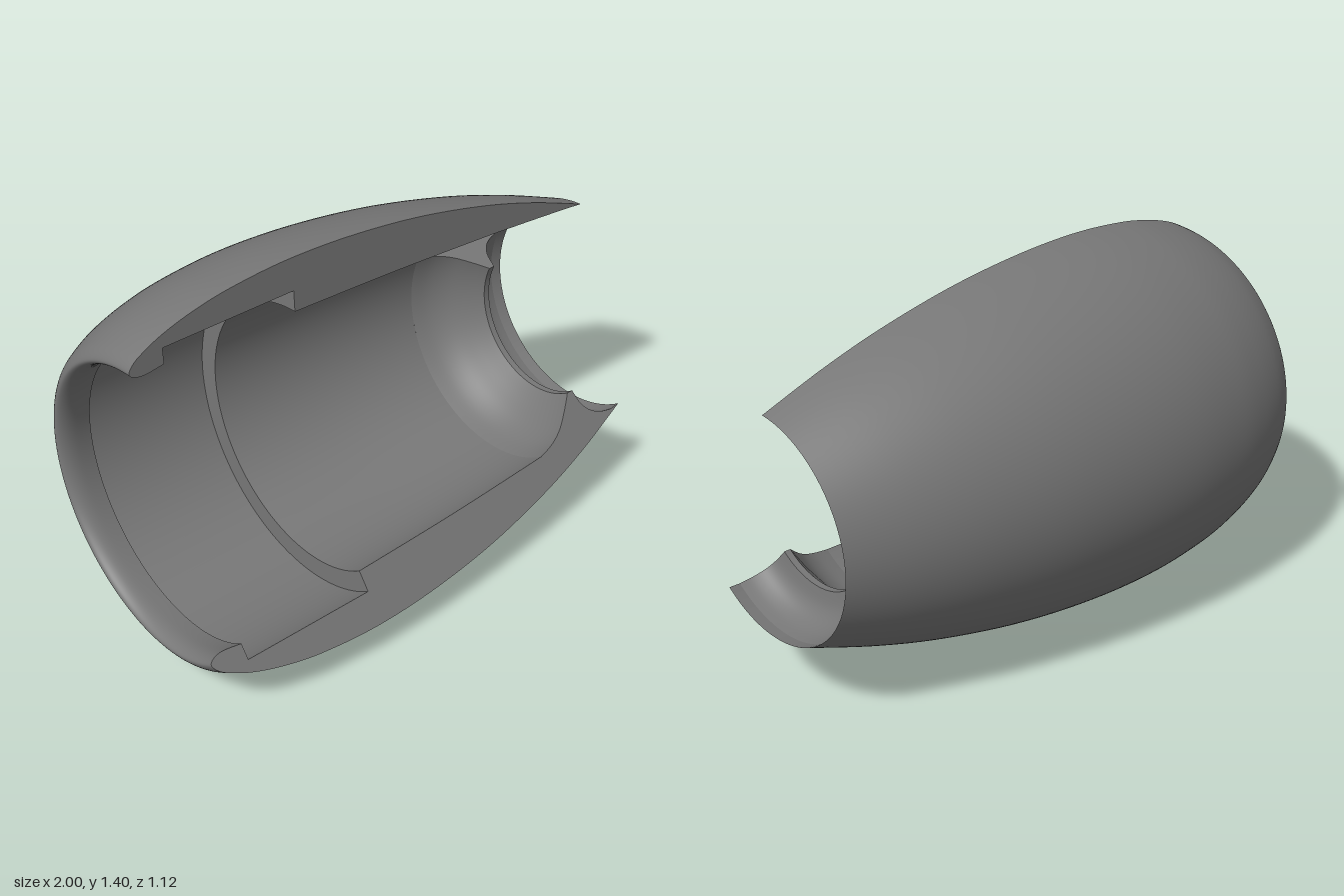
import * as THREE from 'three';

const material = new THREE.MeshStandardMaterial({ color: 0x777777, side: THREE.DoubleSide });
const rad = THREE.MathUtils.degToRad;

// Sweep limits in degrees, from straight up towards the back
const TOP = 3, RIB = 67.8, BOTTOM = 217;

// Profile points are (position along x, radius)
const pts = (list) => list.map(([x, r]) => new THREE.Vector2(x, r));
const spline = (list, n) => new THREE.SplineCurve(pts(list)).getPoints(n);

export function createModel() {
  const group = new THREE.Group();
  const shell = new THREE.Group();
  shell.name = 'cutawayShell';
  shell.position.set(0, 0.7, 0.14);
  group.add(shell);

  // Revolve a profile about the x axis between two angles
  function revolve(name, profile, from, to) {
    const geo = new THREE.LatheGeometry(
      profile.map((p) => new THREE.Vector2(p.y, p.x)),
      Math.ceil((to - from) / 2), rad(270 - to), rad(to - from));
    geo.rotateZ(-Math.PI / 2);
    const mesh = new THREE.Mesh(geo, material);
    mesh.name = name;
    shell.add(mesh);
  }

  // Flat cut face at one angle
  function cutFace(name, outline, angle, flip) {
    const geo = new THREE.ShapeGeometry(new THREE.Shape(outline));
    if (flip) {
      geo.index.array.reverse();
      geo.attributes.normal.array.forEach((v, i, a) => { a[i] = -v; });
    }
    geo.rotateX(-rad(angle));
    const mesh = new THREE.Mesh(geo, material);
    mesh.name = name;
    shell.add(mesh);
  }

  // Outer wall with its rolled left rim
  const outer = spline([
    [-0.87, 0.52], [-0.94, 0.511], [-0.98, 0.517], [-1, 0.535], [-0.985, 0.562],
    [-0.95, 0.587], [-0.87, 0.624], [-0.75, 0.659], [-0.6, 0.685],
    ...[-0.37, -0.1, 0.2, 0.5, 0.75, 1].map((x) => [x, 0.7 - 0.149 * (x + 0.37) ** 2]),
  ], 90);

  // Tapering bore, split where the rib meets it
  const boreRight = pts([[1, 0.42], [0.955, 0.425]]);
  const boreUnderRib = spline([[0.955, 0.425], [0.8, 0.439], [0.56, 0.458]], 10);
  const boreLeft = spline([[0.56, 0.458], [0.1, 0.484], [-0.35, 0.5]], 16);

  // Square groove near the left rim
  const grooveRight = pts([[-0.35, 0.5], [-0.35, 0.578]]);
  const grooveFloor = pts([[-0.35, 0.578], [-0.87, 0.578]]);
  const grooveLeft = pts([[-0.87, 0.578], [-0.87, 0.52]]);

  // Inner rib with a flared face on both sides of a narrow land
  const ribRight = spline([
    [0.955, 0.425], [0.905, 0.414], [0.86, 0.39], [0.83, 0.35], [0.815, 0.292]], 20);
  const ribLand = pts([[0.815, 0.292], [0.79, 0.292]]);
  const ribLeft = spline([
    [0.79, 0.292], [0.745, 0.345], [0.69, 0.4], [0.63, 0.436], [0.56, 0.458]], 20);

  revolve('outerWall', outer, TOP, BOTTOM);
  revolve('boreMouth', boreRight, TOP, BOTTOM);
  revolve('bore', boreLeft, TOP, BOTTOM);
  revolve('boreBesideRib', boreUnderRib, TOP, RIB);
  revolve('grooveRightStep', grooveRight, TOP, BOTTOM);
  revolve('grooveFloor', grooveFloor, TOP, BOTTOM);
  revolve('grooveLeftStep', grooveLeft, TOP, BOTTOM);
  revolve('ribRightFlare', ribRight, RIB, BOTTOM);
  revolve('ribLand', ribLand, RIB, BOTTOM);
  revolve('ribLeftFlare', ribLeft, RIB, BOTTOM);

  // Join strips into one outline, dropping the shared end points
  const join = (...strips) => strips.flatMap((s) => s.slice(0, -1));
  const rib = [ribRight, ribLand, ribLeft];
  const groove = [grooveRight, grooveFloor, grooveLeft];
  cutFace('topCutFace', join(outer, boreRight, boreUnderRib, boreLeft, ...groove), TOP, false);
  cutFace('bottomCutFace', join(outer, boreRight, ...rib, boreLeft, ...groove), BOTTOM, true);
  cutFace('ribCutFace', join(...rib, [...boreUnderRib].reverse()), RIB, false);

  return group;
}
